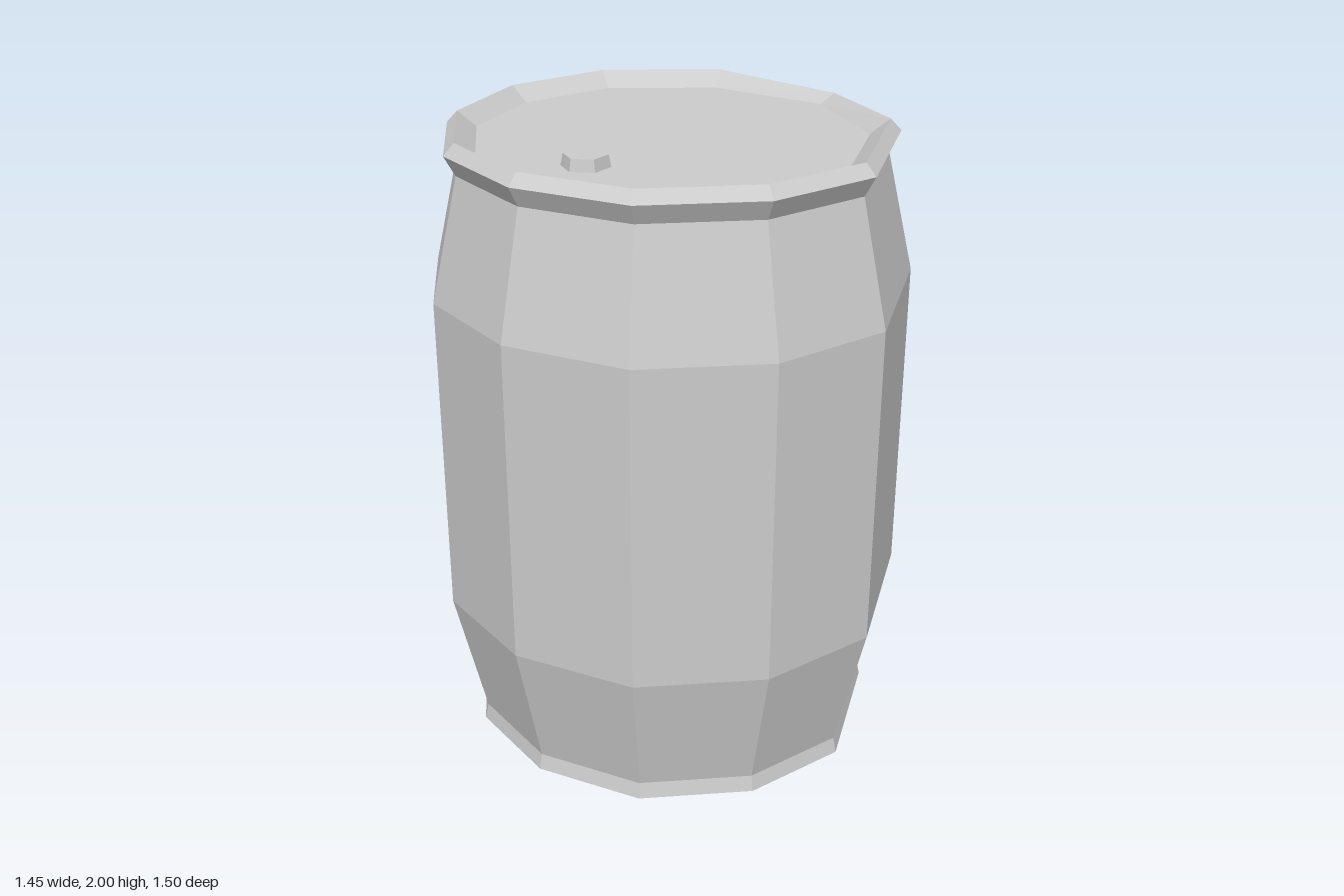
import * as THREE from 'three';

// Uneven hand-made outline at the belly: [x, z], clockwise from the back
const OUTLINE = [
  [0.05, -0.75], [0.45, -0.59], [0.72, -0.2], [0.69, 0.25], [0.37, 0.66], [0, 0.745],
  [-0.38, 0.63], [-0.64, 0.34], [-0.725, -0.03], [-0.605, -0.405], [-0.325, -0.665],
];
const DENTED = 2; // corner whose rings are pushed out of level

// Rings: [outline scale, height, height shift at the dented corner]
const BODY = [
  [0.76, 0, 0], [0.885, 0.07, 0.03], [0.87, 0.12, 0.03],
  [1, 0.535, 0.015], [1, 1.535, -0.015], [0.88, 1.905, -0.025],
];
const RIM = [[0.88, 1.905, -0.025], [0.925, 1.965, -0.025], [0.88, 2, -0.02], [0.8, 1.955, 0]];

const material = new THREE.MeshStandardMaterial({ color: 0xcccccc, flatShading: true });

function ringPoint([scale, y, dent], i) {
  const n = i % OUTLINE.length;
  const [x, z] = OUTLINE[n];
  return [x * scale, n === DENTED ? y + dent : y, z * scale];
}

// Walls between consecutive rings, optionally closed with a flat bottom or top
function loft(name, rings, { walls = true, bottom = false, top = false }) {
  const positions = [];
  const tri = (...points) => points.forEach((p) => positions.push(...p));
  const last = rings[rings.length - 1];
  for (let i = 0; i < OUTLINE.length; i++) {
    for (let r = 0; walls && r < rings.length - 1; r++) {
      const a = ringPoint(rings[r], i), b = ringPoint(rings[r], i + 1);
      const c = ringPoint(rings[r + 1], i), d = ringPoint(rings[r + 1], i + 1);
      tri(b, a, c);
      tri(b, c, d);
    }
    if (bottom) tri([0, rings[0][1], 0], ringPoint(rings[0], i), ringPoint(rings[0], i + 1));
    if (top) tri([0, last[1], 0], ringPoint(last, i + 1), ringPoint(last, i));
  }
  const geometry = new THREE.BufferGeometry();
  geometry.setAttribute('position', new THREE.Float32BufferAttribute(positions, 3));
  geometry.computeVertexNormals();
  const mesh = new THREE.Mesh(geometry, material);
  mesh.name = name;
  return mesh;
}

export function createModel() {
  const barrel = new THREE.Group();
  barrel.name = 'barrel';
  barrel.add(
    loft('body', BODY, { bottom: true }),
    loft('rim', RIM, {}),
    loft('lid', [RIM[3]], { walls: false, top: true }),
  );

  // Small hexagonal filler plug on the lid
  const plug = new THREE.Mesh(new THREE.CylinderGeometry(0.064, 0.071, 0.035, 6), material);
  plug.name = 'fillerPlug';
  plug.position.set(-0.325, 1.9725, 0.18);
  barrel.add(plug);
  return barrel;
}
